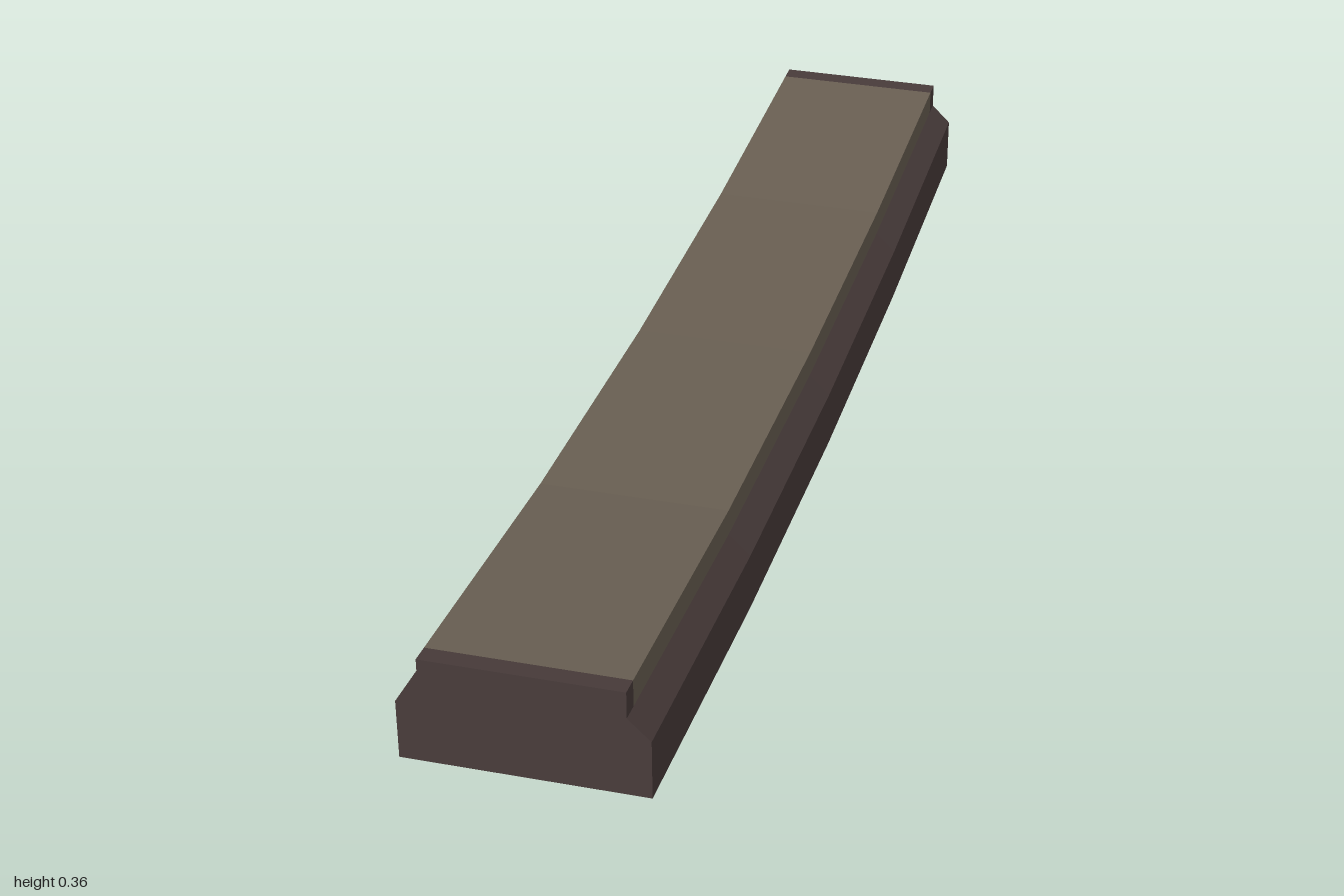
import * as THREE from 'three';

// Cross-section, counter-clockwise seen from the front
const profile = [
  [-0.16, 0], [0.16, 0], [0.16, 0.087], [0.13, 0.117],
  [0.13, 0.156], [-0.13, 0.156], [-0.13, 0.117], [-0.16, 0.087],
].map(([x, y]) => new THREE.Vector2(x, y));

// Height of the underside along the length, four straight segments
const rise = [0, 0.02, 0.059, 0.119, 0.202];
const lift = (z) => {
  const t = (z + 1) * 2;
  const i = Math.min(3, Math.floor(t));
  return THREE.MathUtils.lerp(rise[i], rise[i + 1], t - i);
};
const stations = [-1, -0.97, -0.5, 0, 0.5, 0.97, 1];

function makeMesh(name, positions, material) {
  const geometry = new THREE.BufferGeometry();
  geometry.setAttribute('position', new THREE.Float32BufferAttribute(positions, 3));
  geometry.computeVertexNormals();
  const mesh = new THREE.Mesh(geometry, material);
  mesh.name = name;
  return mesh;
}

export function createModel() {
  const darkBrown = new THREE.MeshStandardMaterial({ color: 0x493c3b, flatShading: true });
  darkBrown.name = 'darkBrown';
  const greyTan = new THREE.MeshStandardMaterial({ color: 0x6b6154, flatShading: true });
  greyTan.name = 'greyTan';

  const body = [];
  const tread = [];
  const point = (k, z) => [profile[k].x, profile[k].y + lift(z), z];

  // Long faces: the raised strip is tan except for its short end bands
  for (let s = 0; s < stations.length - 1; s++) {
    const a = stations[s], b = stations[s + 1];
    const endBand = s === 0 || s === stations.length - 2;
    for (let k = 0; k < profile.length; k++) {
      const n = (k + 1) % profile.length;
      const raised = k >= 3 && k <= 5;
      const target = raised && !endBand ? tread : body;
      const pa = point(k, a), qa = point(n, a), qb = point(n, b), pb = point(k, b);
      target.push(...pa, ...qa, ...qb, ...pa, ...qb, ...pb);
    }
  }

  // End caps
  for (const [i, j, k] of THREE.ShapeUtils.triangulateShape(profile, [])) {
    body.push(...point(i, 1), ...point(j, 1), ...point(k, 1));
    body.push(...point(k, -1), ...point(j, -1), ...point(i, -1));
  }

  const group = new THREE.Group();
  group.name = 'curvedBeam';
  group.add(makeMesh('beamBody', body, darkBrown), makeMesh('raisedStrip', tread, greyTan));
  return group;
}
